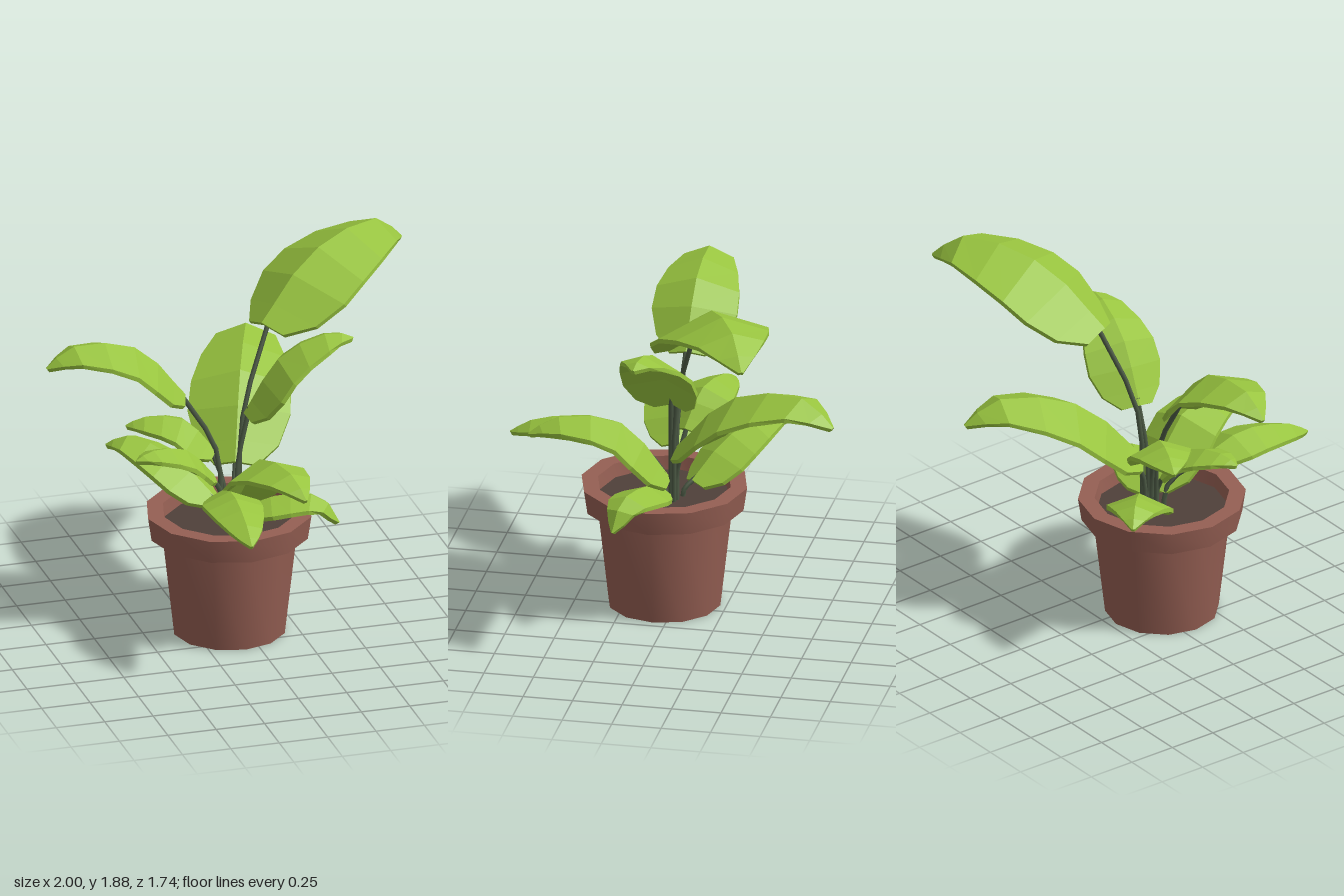
import * as THREE from 'three';
import { toCreasedNormals } from 'three/addons/utils/BufferGeometryUtils.js';

const UP = new THREE.Vector3(0, 1, 0);

// stations along the leaf, and the half width there relative to the widest part
const ALONG = [0, 0.1, 0.26, 0.44, 0.62, 0.8, 0.92, 1];
const RELATIVE_WIDTH = [0.42, 0.8, 1, 0.97, 0.82, 0.58, 0.32, 0.04];

// closed blade folded along its midrib, built from six-point cross-sections
function bladeGeometry(midrib, width) {
  const side = midrib.getPoint(1).sub(midrib.getPoint(0)).cross(UP).normalize();
  const droop = 0.4, thickness = 0.022;
  const pos = [], index = [];
  ALONG.forEach((t, i) => {
    const mid = midrib.getPointAt(t);
    const normal = side.clone().cross(midrib.getTangentAt(t)).normalize();
    const w = width * RELATIVE_WIDTH[i];
    for (const depth of [0, thickness]) {
      for (const s of depth ? [1, 0, -1] : [-1, 0, 1]) {
        const corner = mid.clone()
          .addScaledVector(side, s * w)
          .addScaledVector(normal, -Math.abs(s) * w * droop - depth);
        pos.push(corner.x, corner.y, corner.z);
      }
    }
    if (i === 0) return;
    const a = (i - 1) * 6, b = i * 6;
    for (let k = 0; k < 6; k++) {
      const n = (k + 1) % 6;
      index.push(a + k, a + n, b + n, a + k, b + n, b + k);
    }
  });
  // end caps, each half split at the midrib
  const end = (ALONG.length - 1) * 6;
  for (const [p, q, r] of [[0, 1, 4], [0, 4, 5], [1, 2, 3], [1, 3, 4]]) {
    index.push(p, r, q, end + p, end + q, end + r);
  }
  const geo = new THREE.BufferGeometry();
  geo.setAttribute('position', new THREE.Float32BufferAttribute(pos, 3));
  geo.setIndex(index);
  const flat = geo.toNonIndexed();
  flat.computeVertexNormals();
  return flat;
}

function lathe(profile) {
  const geo = new THREE.LatheGeometry(profile.map(([x, y]) => new THREE.Vector2(x, y)), 12);
  return toCreasedNormals(geo, 0.7);
}

export function createModel() {
  const model = new THREE.Group();
  model.name = 'pottedPlant';
  const potMat = new THREE.MeshStandardMaterial({ color: 0x955f53 });
  const soilMat = new THREE.MeshStandardMaterial({ color: 0x4f403a });
  const stemMat = new THREE.MeshStandardMaterial({ color: 0x4c5a45 });
  const leafMat = new THREE.MeshStandardMaterial({ color: 0x98c43f, flatShading: true });

  const add = (parent, name, geo, mat) => {
    const mesh = new THREE.Mesh(geo, mat);
    mesh.name = name;
    parent.add(mesh);
    return mesh;
  };

  // tapered pot with an overhanging rim, open at the top
  const pot = add(model, 'pot', lathe([
    [0, 0], [0.283, 0], [0.342, 0.52], [0.4, 0.52], [0.418, 0.64], [0.335, 0.64], [0.315, 0.5],
  ]), potMat);
  const soil = add(model, 'soil', new THREE.CircleGeometry(0.33, 12).rotateX(-Math.PI / 2), soilMat);
  pot.position.set(-0.074, 0, 0.064);
  soil.position.set(-0.074, 0.57, 0.064);

  // a leaf on its stem: the midrib runs straight in plan from base to tip,
  // passing two heights on the way; the stem rises steeply, then leans out
  const addLeaf = (name, rootX, rootZ, base, heights, tip, width) => {
    const leaf = new THREE.Group();
    leaf.name = name + 'Leaf';
    const start = new THREE.Vector3(...base), finish = new THREE.Vector3(...tip);
    const inner = heights.map((y, i) => start.clone().lerp(finish, i ? 0.82 : 0.35).setY(y));
    const midrib = new THREE.CatmullRomCurve3([start, ...inner, finish]);
    add(leaf, 'blade', bladeGeometry(midrib, width), leafMat);

    const root = new THREE.Vector3(rootX, 0.55, rootZ);
    const bend = root.clone().lerp(start, 0.13).setY(0.55 + (start.y - 0.55) * 0.55);
    const joint = midrib.getPointAt(0.08);
    joint.y -= 0.02;
    const path = new THREE.CatmullRomCurve3([root, bend, joint]);
    add(leaf, 'stem', new THREE.TubeGeometry(path, 6, 0.013, 5), stemMat);
    model.add(leaf);
  };

  addLeaf('tallRight', 0, 0, [0.15, 1.54, -0.12], [1.81, 1.87], [1, 1.73, -0.55], 0.29);
  addLeaf('tallLeft', -0.1, 0.01, [-0.28, 1.26, 0], [1.54, 1.585], [-1, 1.49, 0], 0.215);
  addLeaf('midRight', -0.02, 0.02, [0.02, 1.12, 0], [1.42, 1.53], [0.56, 1.5, 0.09], 0.195);
  addLeaf('back', -0.03, -0.01, [-0.02, 0.86, -0.01], [1.19, 1.285], [0.31, 1.17, -0.87], 0.255);
  addLeaf('front', -0.03, 0.01, [-0.03, 0.68, 0.02], [0.98, 1.01], [0.13, 0.93, 0.71], 0.195);
  addLeaf('frontLow', -0.09, 0.06, [-0.17, 0.84, 0.27], [0.91, 0.86], [-0.2, 0.79, 0.87], 0.145);
  addLeaf('rightLow', -0.04, 0.04, [0, 0.64, 0.06], [0.705, 0.7], [0.45, 0.57, 0.22], 0.13);
  addLeaf('backLeftLow', -0.08, -0.03, [-0.1, 0.65, -0.07], [0.82, 0.895], [-0.55, 0.83, -0.47], 0.165);
  addLeaf('leftLow', -0.09, 0.02, [-0.14, 0.82, 0.03], [0.99, 1.03], [-0.58, 1, 0.15], 0.14);
  addLeaf('leftMid', -0.08, 0, [-0.11, 0.92, -0.03], [1.08, 1.085], [-0.53, 1.04, -0.2], 0.16);
  return model;
}
